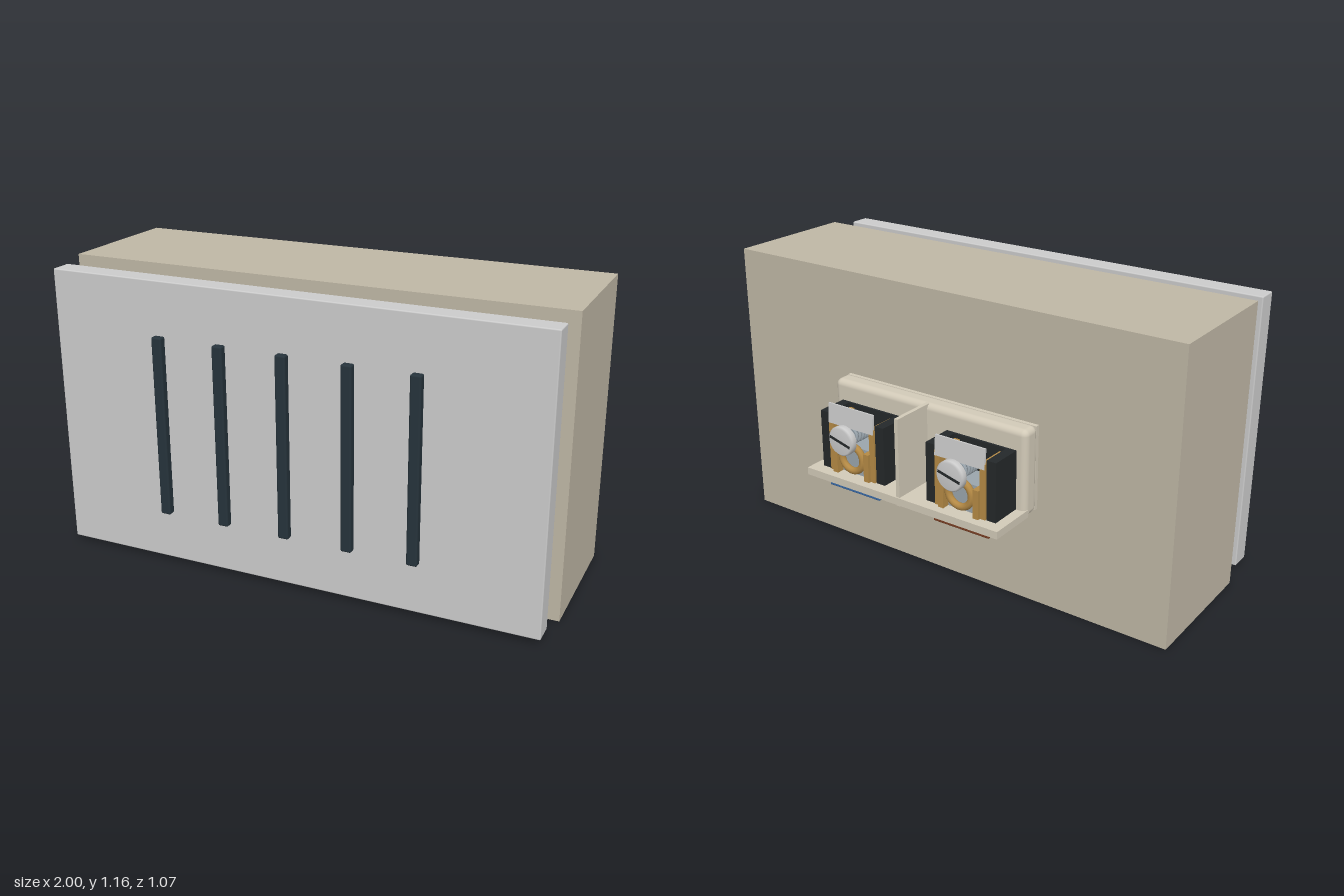
import * as THREE from 'three';
import { RoundedBoxGeometry } from 'three/addons/geometries/RoundedBoxGeometry.js';

const mat = (color) => new THREE.MeshStandardMaterial({ color });
const tan = mat(0xbfb7a5), cream = mat(0xd2cab8), grey = mat(0xcccccc), steel = mat(0x9aa5ad);
const dark = mat(0x26333b), black = mat(0x24282a), copper = mat(0xb8683a), brass = mat(0xb58a45);
const blue = mat(0x3a6ba8), brown = mat(0x7a4025);

function add(parent, name, geometry, material, x = 0, y = 0, z = 0) {
  const mesh = new THREE.Mesh(geometry, material);
  mesh.name = name;
  mesh.position.set(x, y, z);
  parent.add(mesh);
  return mesh;
}

// Box given by its minimum and maximum corners, optionally with rounded edges
function block(parent, name, material, [x0, y0, z0], [x1, y1, z1], radius = 0) {
  const size = [x1 - x0, y1 - y0, z1 - z0];
  const geometry = radius ? new RoundedBoxGeometry(...size, 3, radius) : new THREE.BoxGeometry(...size);
  return add(parent, name, geometry, material, (x0 + x1) / 2, (y0 + y1) / 2, (z0 + z1) / 2);
}

const cylinderZ = (r, length, sides = 32) => new THREE.CylinderGeometry(r, r, length, sides).rotateX(Math.PI / 2);

// Chime bars, coil and plunger between the housing and the cover
function createMechanism() {
  const group = new THREE.Group();
  group.name = 'chimeMechanism';
  for (const x of [-0.51, 0.51]) {
    block(group, 'chimeBar', steel, [x - 0.06, 0.24, 0.3], [x + 0.06, 1.015, 0.375], 0.006);
    block(group, 'chimeBarPin', grey, [x - 0.02, 1.0, 0.3], [x + 0.02, 1.016, 0.35]);
  }
  const plunger = new THREE.CylinderGeometry(0.04, 0.04, 0.62, 32).rotateZ(Math.PI / 2);
  add(group, 'plunger', plunger, steel, 0, 0.6, 0.355);
  for (const y of [0.435, 0.788]) {
    add(group, 'coilFlange', new THREE.CylinderGeometry(0.218, 0.218, 0.034, 48), black, 0, y, 0.187);
  }
  add(group, 'coilCore', new THREE.CylinderGeometry(0.195, 0.195, 0.33, 48), black, 0, 0.612, 0.187);
  const winding = new THREE.TorusGeometry(0.196, 0.017, 10, 48).rotateX(Math.PI / 2);
  for (let i = 0; i < 9; i++) add(group, 'coilWinding', winding, copper, 0, 0.472 + i * 0.035, 0.187);
  return group;
}

// One screw terminal, centred on x = 0
function createTerminal(name, tagMaterial) {
  const group = new THREE.Group();
  group.name = name;
  for (const s of [-1, 1]) {
    const side = (n, m, a, b, y0, y1, z0, z1) =>
      block(group, n, m, [Math.min(s * a, s * b), y0, z0], [Math.max(s * a, s * b), y1, z1]);
    side('terminalSide', black, 0.115, 0.155, 0.425, 0.662, -0.465, -0.33);
    side('clampPlate', brass, 0.088, 0.112, 0.425, 0.645, -0.47, -0.335);
    side('clampFoot', brass, 0.066, 0.09, 0.425, 0.54, -0.482, -0.36);
  }
  block(group, 'terminalBack', black, [-0.155, 0.425, -0.345], [0.155, 0.662, -0.33]);
  block(group, 'contactBlock', steel, [-0.09, 0.425, -0.45], [0.09, 0.54, -0.34]);

  // Wire clamp loop
  add(group, 'clampLoop', new THREE.TorusGeometry(0.052, 0.014, 10, 32), brass, 0, 0.5, -0.468);

  // Screw with threads and a slotted head
  const screw = new THREE.Group();
  screw.name = 'screw';
  screw.position.y = 0.593;
  group.add(screw);
  add(screw, 'screwShaft', cylinderZ(0.023, 0.13, 20), steel, 0, 0, -0.445);
  class Helix extends THREE.Curve {
    getPoint(t, target = new THREE.Vector3()) {
      const a = t * Math.PI * 12;
      return target.set(0.027 * Math.cos(a), 0.027 * Math.sin(a), -0.385 - 0.11 * t);
    }
  }
  add(screw, 'screwThread', new THREE.TubeGeometry(new Helix(), 120, 0.006, 6), steel);
  const head = [[0, -0.018], [0.052, -0.018], [0.059, -0.011], [0.059, 0.011], [0.052, 0.018], [0, 0.018]]
    .map(([r, y]) => new THREE.Vector2(r, y));
  add(screw, 'screwHead', new THREE.LatheGeometry(head, 32).rotateX(Math.PI / 2), grey, 0, 0, -0.517);
  const slot = add(screw, 'screwSlot', new THREE.BoxGeometry(0.1, 0.011, 0.002), black, 0, 0, -0.535);
  slot.rotation.z = 0.25;

  // Blank marker plate above the screw and coloured tag under the shelf
  const marker = add(group, 'markerPlate', new THREE.BoxGeometry(0.22, 0.08, 0.008), grey, 0, 0.665, -0.466);
  marker.rotation.x = 0.08;
  block(group, 'wireTag', tagMaterial, [-0.125, 0.35, -0.465], [0.125, 0.4, -0.39], 0.004);
  return group;
}

// Rear connection block with shelf, divider and two terminals
function createTerminalBlock() {
  const group = new THREE.Group();
  group.name = 'terminalBlock';
  block(group, 'mountingPad', cream, [-0.445, 0.4, -0.262], [0.445, 0.738, -0.24]);
  block(group, 'mountingPlate', cream, [-0.45, 0.395, -0.335], [0.45, 0.743, -0.255], 0.025);

  // Shelf section with a tapered underside at the plate
  const profile = new THREE.Shape();
  profile.moveTo(0.305, 0.425);
  profile.lineTo(0.315, 0.395);
  profile.lineTo(0.515, 0.395);
  profile.lineTo(0.515, 0.425);
  const shelf = new THREE.ExtrudeGeometry(profile, { depth: 0.9, bevelEnabled: false });
  shelf.rotateY(Math.PI / 2).translate(-0.45, 0, 0);
  add(group, 'shelf', shelf, cream);
  block(group, 'shelfRib', cream, [-0.008, 0.389, -0.51], [0.008, 0.4, -0.32]);
  block(group, 'divider', cream, [-0.008, 0.42, -0.51], [0.008, 0.742, -0.31]);

  for (const [x, name, tag] of [[0.255, 'leftTerminal', blue], [-0.255, 'rightTerminal', brown]]) {
    const terminal = createTerminal(name, tag);
    terminal.position.x = x;
    group.add(terminal);
  }
  return group;
}

export function createModel() {
  const model = new THREE.Group();
  model.name = 'doorbellChime';

  block(model, 'housing', tan, [-1, 0, -0.245], [1, 1.16, 0.31]);
  block(model, 'frontCover', grey, [-0.98, 0.02, 0.41], [0.98, 1.145, 0.497], 0.005);

  // Five grille bars
  for (let i = -2; i <= 2; i++) {
    const x = i * 0.255;
    block(model, 'grilleBar', dark, [x - 0.021, 0.225, 0.505], [x + 0.021, 0.94, 0.537], 0.007);
  }

  model.add(createMechanism(), createTerminalBlock());
  return model;
}
